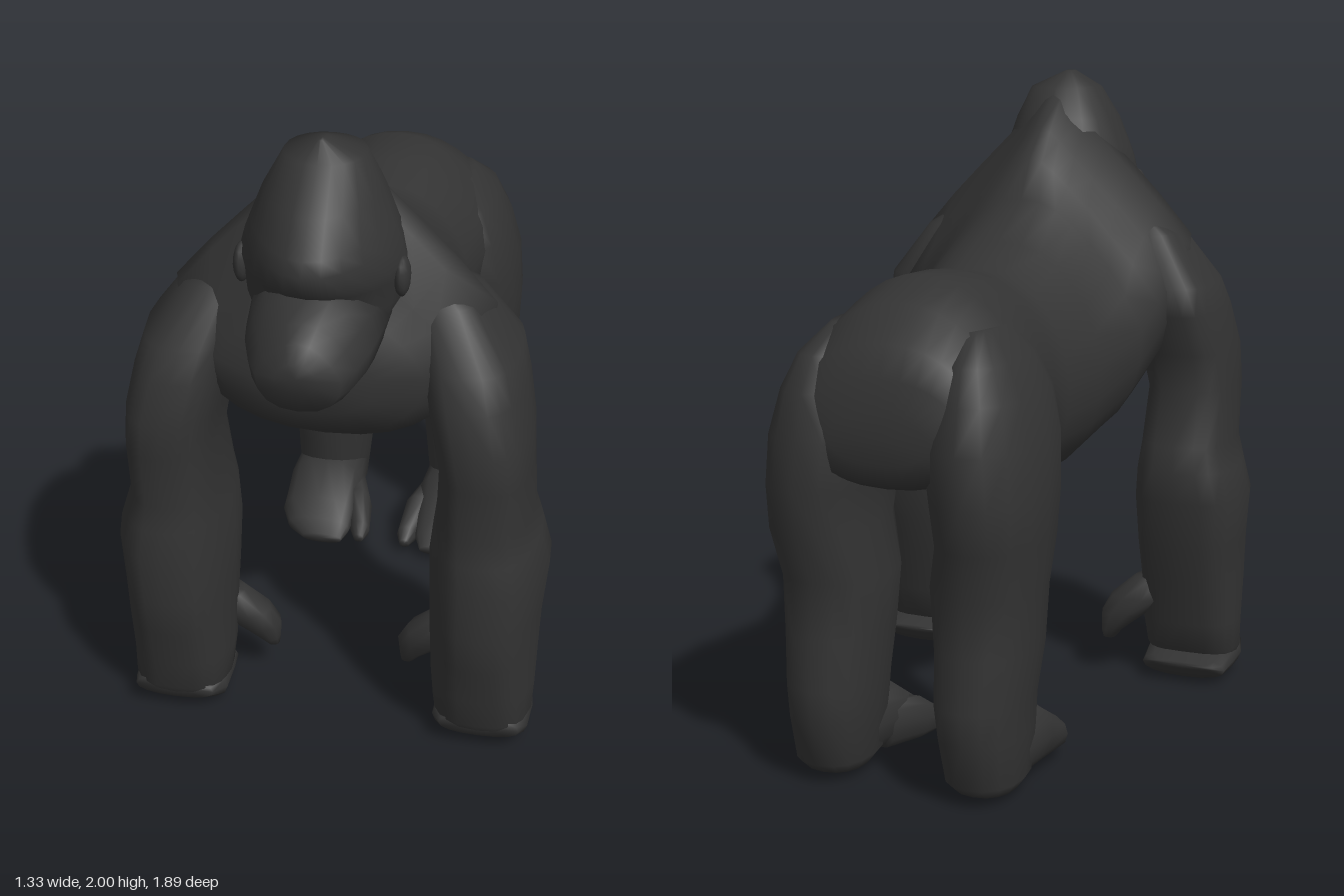
import * as THREE from 'three';

const fur = new THREE.MeshStandardMaterial({ color: 0x333333 });
fur.name = 'charcoal fur';

// Skin of rounded rings. Each ring is [t, x0, x1, b0, b1, taper]: t runs along the axis,
// b is height (axis z) or depth (axis y), and taper narrows the b1 side.
function loft(axis, rings, { n = 16, power = 2.3, side = 1 } = {}) {
  const pos = [], idx = [];
  const put = (x, b, t) => (axis === 'y' ? pos.push(x, t, b) : pos.push(x, b, t));
  const tri = (a, b, c) => (axis === 'y' ? idx.push(a, c, b) : idx.push(a, b, c));
  const round = v => Math.sign(v) * Math.pow(Math.abs(v), 2 / power);
  for (const [t, x0, x1, b0, b1, taper = 0] of rings) {
    for (let i = 0; i < n; i++) {
      const a = (i / n) * Math.PI * 2;
      const c = round(Math.cos(a)), s = round(Math.sin(a));
      const x = (x0 + x1) / 2 + ((x1 - x0) / 2) * c * (1 - taper * Math.max(0, s));
      put(x * side, (b0 + b1) / 2 + ((b1 - b0) / 2) * s, t);
    }
  }
  for (let r = 0; r < rings.length - 1; r++) {
    for (let i = 0; i < n; i++) {
      const a = r * n + i, b = r * n + (i + 1) % n;
      tri(a, b, b + n);
      tri(a, b + n, a + n);
    }
  }
  // end caps
  [0, rings.length - 1].forEach((r, end) => {
    const [t, x0, x1, b0, b1] = rings[r], mid = pos.length / 3;
    put(side * (x0 + x1) / 2, (b0 + b1) / 2, t);
    for (let i = 0; i < n; i++) {
      const a = r * n + i, b = r * n + (i + 1) % n;
      end ? tri(a, b, mid) : tri(b, a, mid);
    }
  });
  // mirrored copies need their corners reversed
  if (side < 0) idx.reverse();
  const g = new THREE.BufferGeometry();
  g.setAttribute('position', new THREE.Float32BufferAttribute(pos, 3));
  g.setIndex(idx);
  g.computeVertexNormals();
  return g;
}

// Symmetric rings given by half width
const centred = rows => rows.map(([t, w, b0, b1, k]) => [t, -w, w, b0, b1, k]);

// Rump, belly, chest, and the steep neck muscle that rises to the crown
const TORSO = centred([
  [-0.92, 0.15, 1.0, 1.14], [-0.9, 0.25, 0.94, 1.24, 0.1], [-0.86, 0.3, 0.92, 1.33, 0.2],
  [-0.76, 0.34, 0.92, 1.43, 0.3], [-0.61, 0.35, 0.91, 1.49, 0.35], [-0.43, 0.32, 0.87, 1.48, 0.25],
  [-0.3, 0.29, 0.82, 1.45, 0.15], [-0.22, 0.3, 0.77, 1.445, 0.1], [-0.06, 0.345, 0.77, 1.51, 0.2],
  [0.13, 0.41, 0.83, 1.62, 0.45], [0.2, 0.44, 0.87, 1.74, 0.68], [0.3, 0.46, 0.92, 1.83, 0.78],
  [0.42, 0.47, 0.99, 1.94, 0.82], [0.52, 0.44, 1.04, 1.93, 0.82], [0.58, 0.39, 1.07, 1.66, 0.6],
  [0.64, 0.3, 1.12, 1.52, 0.3], [0.685, 0.16, 1.2, 1.4],
]);

// Skull with a brow that overhangs the eyes
const HEAD = centred([
  [1.38, 0.13, 0.45, 0.7], [1.46, 0.19, 0.4, 0.73], [1.55, 0.225, 0.36, 0.77, 0.15],
  [1.62, 0.235, 0.33, 0.785, 0.2], [1.66, 0.235, 0.32, 0.85, 0.3], [1.72, 0.22, 0.3, 0.855, 0.3],
  [1.76, 0.205, 0.32, 0.835, 0.3], [1.85, 0.17, 0.36, 0.76, 0.2], [1.95, 0.115, 0.42, 0.64],
  [2.0, 0.015, 0.54, 0.59],
]);

const MUZZLE = centred([
  [0.6, 0.2, 1.38, 1.64], [0.73, 0.185, 1.335, 1.65, 0.1], [0.79, 0.175, 1.335, 1.63, 0.2],
  [0.86, 0.15, 1.335, 1.59, 0.35], [0.91, 0.12, 1.345, 1.555, 0.4], [0.945, 0.06, 1.42, 1.51, 0.2],
]);

const ARM = [
  [0.03, 0.37, 0.6, 0.46, 0.61], [0.1, 0.325, 0.635, 0.4, 0.655, 0.15], [0.2, 0.315, 0.64, 0.37, 0.665, 0.2],
  [0.35, 0.31, 0.645, 0.335, 0.71, 0.25], [0.48, 0.305, 0.65, 0.295, 0.73, 0.25], [0.64, 0.3, 0.665, 0.265, 0.73, 0.25],
  [0.74, 0.31, 0.635, 0.26, 0.72, 0.2], [0.82, 0.32, 0.612, 0.285, 0.705, 0.15], [1.0, 0.33, 0.607, 0.33, 0.72, 0.1],
  [1.12, 0.31, 0.6, 0.3, 0.73, 0.1], [1.25, 0.28, 0.575, 0.26, 0.7, 0.1], [1.34, 0.26, 0.55, 0.24, 0.66, 0.1],
  [1.5, 0.24, 0.43, 0.31, 0.56], [1.56, 0.24, 0.33, 0.37, 0.49],
];
const HAND = [
  [0.35, 0.38, 0.6, 0.055, 0.075], [0.39, 0.34, 0.625, 0.012, 0.085], [0.47, 0.33, 0.635, 0.005, 0.12],
  [0.57, 0.33, 0.63, 0.0, 0.12], [0.635, 0.36, 0.61, 0.05, 0.12],
];
const THUMB = [
  [0.12, 0.2, 0.24, 0.37, 0.41], [0.15, 0.195, 0.265, 0.35, 0.43], [0.21, 0.19, 0.34, 0.34, 0.46],
  [0.27, 0.22, 0.4, 0.345, 0.48], [0.34, 0.3, 0.4, 0.37, 0.48],
];
const LEG = [
  [0.025, 0.15, 0.33, -0.82, -0.6], [0.06, 0.125, 0.355, -0.86, -0.55], [0.2, 0.11, 0.365, -0.895, -0.52],
  [0.3, 0.1, 0.37, -0.905, -0.515], [0.45, 0.09, 0.385, -0.885, -0.485], [0.62, 0.075, 0.395, -0.88, -0.48],
  [0.77, 0.105, 0.415, -0.925, -0.455], [0.9, 0.09, 0.42, -0.942, -0.425], [1.05, 0.07, 0.41, -0.943, -0.39],
  [1.18, 0.1, 0.375, -0.91, -0.39], [1.28, 0.13, 0.325, -0.86, -0.44], [1.36, 0.15, 0.25, -0.75, -0.52],
];
const FOOT = [
  [-0.8, 0.17, 0.31, 0.03, 0.15], [-0.7, 0.12, 0.355, 0.02, 0.25], [-0.52, 0.1, 0.37, 0.015, 0.23],
  [-0.4, 0.11, 0.37, 0.015, 0.15], [-0.34, 0.12, 0.34, 0.02, 0.1], [-0.3, 0.14, 0.28, 0.025, 0.06],
];
const BIG_TOE = [
  [-0.6, 0.11, 0.2, 0.03, 0.18], [-0.46, 0.06, 0.16, 0.02, 0.16], [-0.36, 0.05, 0.12, 0.02, 0.09],
  [-0.32, 0.065, 0.1, 0.03, 0.06],
];

export function createModel() {
  const model = new THREE.Group();
  model.name = 'gorilla';
  const add = (name, geometry) => {
    const mesh = new THREE.Mesh(geometry, fur);
    mesh.name = name;
    model.add(mesh);
  };

  // Body and head
  add('torso', loft('z', TORSO, { n: 28 }));
  add('head', loft('y', HEAD, { n: 20, power: 2.1 }));
  add('muzzle', loft('z', MUZZLE));

  // Paired limbs and ears
  for (const [label, side] of [['left', 1], ['right', -1]]) {
    add(label + 'Arm', loft('y', ARM, { side, n: 20, power: 2.9 }));
    add(label + 'Hand', loft('z', HAND, { side }));
    add(label + 'Thumb', loft('y', THUMB, { side, n: 10 }));
    add(label + 'Leg', loft('y', LEG, { side }));
    add(label + 'Foot', loft('z', FOOT, { side }));
    add(label + 'BigToe', loft('z', BIG_TOE, { side, n: 10 }));
    const ear = new THREE.SphereGeometry(1, 12, 8).scale(0.024, 0.06, 0.045);
    add(label + 'Ear', ear.translate(side * 0.226, 1.62, 0.6));
  }
  return model;
}
